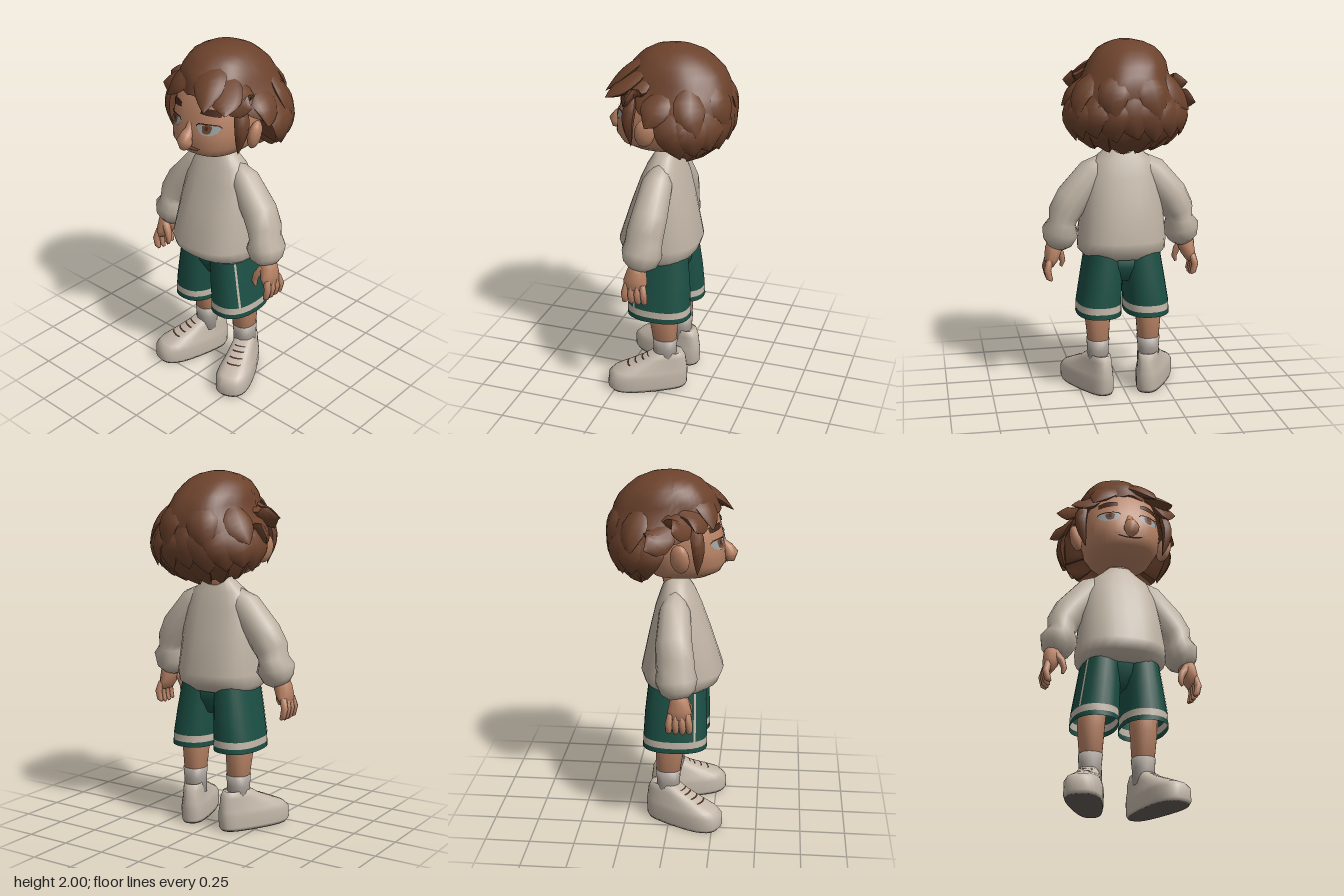
import * as THREE from 'three';
import { toCreasedNormals } from 'three/addons/utils/BufferGeometryUtils.js';

const V = (x, y, z) => new THREE.Vector3(x, y, z);
const mat = (name, color, double) => {
  const m = new THREE.MeshStandardMaterial({ color });
  m.name = name;
  if (double) m.side = THREE.DoubleSide;
  return m;
};

// Skin a list of rings (bottom to top); closed rings wrap around
function skin(rings, closed = true, caps = true) {
  const n = rings[0].length, pos = [], idx = [];
  rings.forEach(r => r.forEach(p => pos.push(p.x, p.y, p.z)));
  for (let i = 0; i < rings.length - 1; i++)
    for (let j = 0; j < (closed ? n : n - 1); j++) {
      const k = (j + 1) % n, a = i * n + j, b = i * n + k, c = b + n, d = a + n;
      idx.push(a, b, c, a, c, d);
    }
  if (closed && caps) [0, rings.length - 1].forEach((i, top) => {
    const c = V(0, 0, 0);
    rings[i].forEach(p => c.addScaledVector(p, 1 / n));
    const m = pos.length / 3;
    pos.push(c.x, c.y, c.z);
    for (let j = 0; j < n; j++) {
      const a = i * n + j, b = i * n + (j + 1) % n;
      top ? idx.push(a, b, m) : idx.push(b, a, m);
    }
  });
  const g = new THREE.BufferGeometry();
  g.setAttribute('position', new THREE.Float32BufferAttribute(pos, 3));
  g.setIndex(idx);
  g.computeVertexNormals();
  return g;
}

// Row [y, halfWidth, zFront, zBack, centreX] interpolated at y
function at(rows, y) {
  let i = 0;
  while (i < rows.length - 2 && y > rows[i + 1][0]) i++;
  const a = rows[i], b = rows[i + 1];
  const t = THREE.MathUtils.clamp((y - a[0]) / (b[0] - a[0]), 0, 1);
  return [y, ...[1, 2, 3, 4].map(k => (a[k] || 0) * (1 - t) + (b[k] || 0) * t)];
}
const pw = (v, p) => Math.sign(v) * Math.abs(v) ** p;
const onRow = ([y, rx, zf, zb, cx = 0], a, p = 0.85, grow = 0) =>
  V(cx + (rx + grow) * pw(Math.sin(a), p), y, (zf + zb) / 2 + ((zf - zb) / 2 + grow) * pw(Math.cos(a), p));

// Upright form from rows; an arc makes an open strip of its surface
function column(rows, { n = 24, p = 0.85, arc, grow = 0, caps = true } = {}) {
  const [a0, a1] = arc || [0, Math.PI * 2];
  const rings = rows.map(r => Array.from({ length: arc ? n + 1 : n },
    (_, j) => onRow(r, a0 + (a1 - a0) * j / n, p, grow)));
  return skin(rings, !arc, caps);
}
const slice = (rows, y0, y1) => [at(rows, y0), ...rows.filter(r => r[0] > y0 && r[0] < y1), at(rows, y1)];

// Limb along points with [sideways, outward] radii
function limb(pts, radii, out, n = 10) {
  const rings = pts.map((c, i) => {
    const d = pts[Math.min(i + 1, pts.length - 1)].clone().sub(pts[Math.max(i - 1, 0)]).normalize();
    const v = out.clone().addScaledVector(d, -out.dot(d)).normalize();
    const u = d.clone().cross(v), [ru, rv] = radii[i];
    return Array.from({ length: n }, (_, j) => {
      const a = j / n * Math.PI * 2;
      return c.clone().addScaledVector(u, ru * Math.sin(a)).addScaledVector(v, rv * Math.cos(a));
    });
  });
  return skin(rings);
}

function mirrored(g) {
  const m = g.clone().scale(-1, 1, 1), ix = m.index.array;
  for (let i = 0; i < ix.length; i += 3) [ix[i], ix[i + 1]] = [ix[i + 1], ix[i]];
  m.computeVertexNormals();
  return m;
}

export function createModel() {
  const model = new THREE.Group();
  model.name = 'boy';
  const skinTone = mat('skin', 0xb98365), hair = mat('hair', 0x6c422c, true), knit = mat('sweater', 0xbfb3a4),
    green = mat('shorts green', 0x1b4f44, true), pale = mat('shoe and trim', 0xc2b6a8, true), sole = mat('sole', 0x655d59),
    sockMat = mat('sock', 0xaaa199), white = mat('eye white', 0x98a3a2, true), dark = mat('dark line', 0x47291c, true),
    iris = mat('iris', 0x70432d, true);
  const add = (name, g, m) => {
    const mesh = new THREE.Mesh(g, m);
    mesh.name = name;
    model.add(mesh);
  };
  const both = (name, g, m) => { add(name + 'Left', g, m); add(name + 'Right', mirrored(g), m); };

  // Sweater with ballooning sleeves
  add('sweaterBody', column([[0.79, .21, .205, -.12], [.83, .248, .265, -.15], [.89, .25, .29, -.17],
    [1.1, .228, .22, -.125], [1.25, .205, .165, -.09], [1.34, .165, .125, -.06], [1.39, .105, .095, -.04],
    [1.425, .068, .082, -.03]]), knit);
  both('sleeve', limb([V(.09, 1.32, .03), V(.165, 1.265, .03), V(.28, 1.12, .035), V(.325, 1.04, .045), V(.335, .99, .05),
    V(.345, .935, .055), V(.36, .875, .065), V(.37, .845, .07)],
  [[.05, .06], [.085, .088], [.1, .098], [.105, .09], [.105, .075], [.115, .105], [.095, .085], [.055, .055]], V(1, 0, 0), 12), knit);

  // Hands
  both('palm', limb([V(.37, .88, .072), V(.382, .83, .075), V(.395, .78, .078), V(.41, .735, .078)],
    [[.04, .042], [.055, .05], [.068, .042], [.06, .026]], V(1, 0, 0)), skinTone);
  for (let i = 0; i < 4; i++) {
    const z = .02 + i * .037;
    both('finger' + (i + 1), limb(
      [V(.41, .77, .016 + z * .8), V(.425, .715, z), V(.415, .67, z), V(.4, .645 + Math.abs(i - 1.5) * .008, z)],
      [[.018, .02], [.02, .02], [.017, .018], [.008, .008]], V(1, 0, 0), 8), skinTone);
  }
  both('thumb', limb([V(.37, .83, .105), V(.338, .785, .12), V(.326, .74, .125), V(.335, .71, .125)],
    [[.024, .026], [.022, .021], [.018, .016], [.008, .008]], V(1, 0, 0), 8), skinTone);

  // Shorts: hem, pale band, leg, side stripe
  const shortLeg = [[.46, .128, .212, -.152, .137], [.53, .126, .21, -.148, .135], [.66, .118, .208, -.14, .122],
    [.84, .105, .2, -.12, .105]];
  [['hem', .46, .488, green], ['hemBand', .488, .526, pale], ['shortsLeg', .526, .84, green]].forEach(([name, a, b, m]) =>
    both(name, column(slice(shortLeg, a, b), { caps: false }), m));
  both('sideStripe', column(slice(shortLeg, .526, .8), { n: 2, arc: [.89, .98], grow: .003 }), pale);
  add('shortsSeat', column([[.66, .08, .13, -.07], [.74, .17, .175, -.105], [.84, .205, .19, -.115]]), green);

  // Legs and socks
  both('leg', column([[.28, .058, .058, -.073, .145], [.45, .072, .085, -.08, .147], [.62, .08, .1, -.08, .14]]), skinTone);
  both('sock', column([[.16, .062, .06, -.072, .147], [.25, .06, .06, -.073, .147], [.312, .065, .064, -.078, .146]]), sockMat);

  // Shoes, wider at the toe and turned outward, with a dark sole
  const shoe = [[.004, .092, .308, -.125], [.02, .096, .322, -.136], [.085, .097, .318, -.138], [.115, .09, .288, -.138],
    [.145, .08, .22, -.133], [.19, .072, .115, -.127], [.228, .064, .055, -.108]];
  const place = g => {
    const p = g.attributes.position;
    for (let i = 0; i < p.count; i++) p.setX(i, p.getX(i) * (.82 + 1.15 * Math.max(0, p.getZ(i) + .03)));
    g.rotateY(.38).translate(.155, 0, 0);
    g.computeVertexNormals();
    return g;
  };
  both('shoe', place(column([...shoe, [.218, .05, .04, -.085]], { p: .78, n: 28 })), pale);
  both('sole', place(column([[0, .09, .306, -.123], [.005, .092, .309, -.126]], { p: .78, n: 28 })), sole);
  for (let y = .15; y < .21; y += .018) both('lace', place(column(
    [at(shoe, y), at(shoe, y + .004)], { n: 8, p: .78, arc: [-.4, .4], grow: .003 })), dark);

  // Head, neck, ears and nose
  const head = [[1.425, .07, .14, -.06], [1.437, .125, .205, -.1], [1.47, .175, .268, -.13], [1.52, .207, .297, -.16],
    [1.6, .22, .29, -.18], [1.67, .216, .275, -.19], [1.78, .2, .25, -.19], [1.88, .14, .17, -.14]];
  add('head', column(head, { n: 36, p: .8 }), skinTone);
  add('neck', column([[1.36, .068, .08, -.04], [1.47, .075, .09, -.07]]), skinTone);
  both('ear', new THREE.SphereGeometry(1, 12, 10).scale(.035, .08, .055).rotateZ(-.2).rotateY(.35).translate(.262, 1.585, .065), skinTone);
  add('nose', limb([V(0, 1.522, .29), V(0, 1.532, .312), V(0, 1.555, .318), V(0, 1.582, .302), V(0, 1.61, .275), V(0, 1.66, .255)],
    [[.02, .02], [.04, .036], [.044, .042], [.034, .032], [.024, .024], [.02, .018]], V(0, 0, 1), 14), skinTone);

  // Face details: thin sheets following the face
  const faceZ = (x, y) => {
    const [, rx, zf, zb] = at(head, y);
    return (zf + zb) / 2 + (zf - zb) / 2 * (1 - Math.abs(x / rx) ** 2.5) ** .4;
  };
  const sheet = (x0, x1, low, high, lift) => skin([0, .5, 1].map(k => Array.from({ length: 11 }, (_, j) => {
    const t = j / 5 - 1, x = x0 + (x1 - x0) * j / 10, y = low(t) + (high(t) - low(t)) * k;
    return V(x, y, faceZ(x, y) + lift);
  })), false);
  const round = t => Math.sqrt(Math.max(0, 1 - t * t));
  const lid = t => 1.645 + .016 * round(t) ** .5;
  both('eyeWhite', sheet(.055, .172, t => 1.645 - .043 * round(t), lid, .004), white);
  both('iris', sheet(.086, .136, t => 1.645 - .034 * round(t) ** .6, t => 1.65 + .008 * round(t), .006), iris);
  both('pupil', sheet(.101, .121, t => 1.64 - .012 * round(t), t => 1.64 + .012 * round(t), .008), dark);
  both('upperLid', sheet(.052, .175, t => lid(t) - .002, t => lid(t) + .005, .008), dark);
  both('eyebrow', sheet(.068, .165, t => 1.706 - .006 * t, t => 1.742 - .008 * t * t - .003 * t, .007), dark);
  add('mouth', sheet(-.07, .07, t => 1.499 + .01 * t * t, t => 1.505 + .009 * t * t, .005), dark);
  both('moustache', sheet(.015, .085, t => 1.523 - .004 * t, t => 1.528 - .004 * t, .005), iris);

  // Hair shell, its hem low at the nape and high over the brow
  const hairRows = [[1.39, .16, .03, -.14], [1.45, .25, .08, -.26], [1.53, .30, .12, -.31], [1.63, .325, .17, -.33],
    [1.71, .30, .23, -.335], [1.79, .238, .26, -.33], [1.88, .212, .228, -.28, -.015], [1.95, .165, .165, -.2, -.02],
    [1.985, .10, .1, -.12, -.015], [2.0, .03, .04, -.05, -.01]];
  const hemRows = [[0, 1.79], [.6, 1.785], [.85, 1.74], [1, 1.69], [1.3, 1.655], [1.45, 1.54], [1.8, 1.46], [2.4, 1.425], [Math.PI, 1.4]];
  const hairAt = (a, y, f = 1) => {
    const q = onRow(at(hairRows, y), a, .95);
    return V(q.x * f, y, (q.z + .03) * f - .03);
  };
  const N = 56, rings = [];
  for (let i = -1; i <= 11; i++) rings.push(Array.from({ length: N }, (_, j) => {
    const a = j / N * Math.PI * 2, s = Math.min(a, Math.PI * 2 - a);
    const hem = at(hemRows, s)[1] + (j % 4 < 2 ? .012 : -.012) * (s > 1.4 ? 1.2 : .4);
    if (i < 0) return hairAt(a, hem + .005, .72).setY(hem + .03);
    const y = hem + (2 - hem) * (1 - (1 - i / 11) ** 1.5);
    return hairAt(a, y, 1 + .025 * Math.sin(7 * a + 1) * (1 - i / 11));
  }));
  add('hairShell', toCreasedNormals(skin(rings), .7), hair);

  // Pointed locks
  let count = 0;
  const lock = (pts, w) => {
    const c = new THREE.CatmullRomCurve3(pts).getPoints(7);
    const shape = [.5, .8, 1, 1, .9, .7, .4, .03];
    const out = pts[1].clone().sub(V(0, 1.68, -.03)).normalize();
    add('hairLock' + ++count, toCreasedNormals(limb(c, shape.map(k => [w * k, .03 * k]), out, 8), .8), hair);
  };
  // broad layer around the back, with raised tips over every other lock
  for (let i = 0; i < 9; i++) {
    const a = 1.68 + i * .365, wob = (i * 7 % 5) / 5;
    lock([hairAt(a, 1.73, .92), hairAt(a, 1.6, .98), hairAt(a + .08, 1.47 + .04 * wob, 1.08)], .1);
    if (i % 2) lock([hairAt(a, 1.82, .92), hairAt(a, 1.71, .97), hairAt(a + .1, 1.58 + .06 * wob, 1.07)], .085);
  }
  // swept fringe and side flicks
  const flicks = [
    [.02, 1.93, .12, .09, 1.85, .225, .14, 1.755, .325],
    [.08, 1.9, .1, .19, 1.8, .21, .25, 1.755, .285],
    [.14, 1.86, .08, .23, 1.775, .15, .31, 1.77, .15],
    [-.04, 1.92, .1, -.13, 1.82, .195, -.2, 1.73, .235],
    [-.1, 1.88, .08, -.21, 1.775, .14, -.31, 1.745, .15],
    [-.16, 1.83, .03, -.27, 1.755, .06, -.37, 1.755, .03],
    [.2, 1.8, -.02, .285, 1.71, 0, .335, 1.64, .04],
    [-.2, 1.78, -.04, -.31, 1.69, -.05, -.38, 1.66, -.11],
  ];
  flicks.forEach(q => lock([V(...q.slice(0, 3)), V(...q.slice(3, 6)), V(...q.slice(6))], .087));
  // sideburns
  for (const s of [1, -1]) lock([V(s * .23, 1.77, .14), V(s * .255, 1.64, .16), V(s * .225, 1.49, .155)], .04);
  return model;
}
